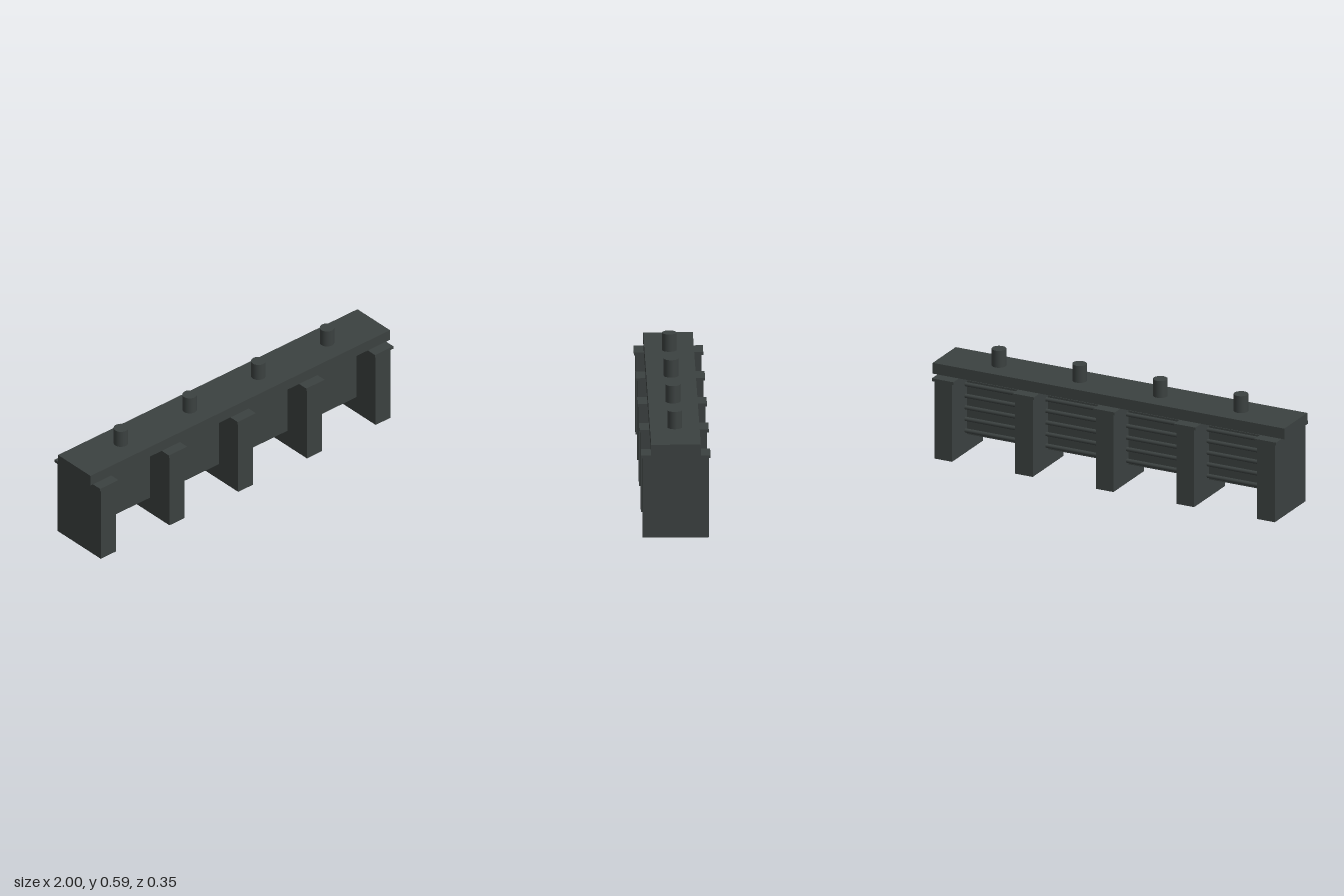
import * as THREE from 'three';

export function createModel() {
  const model = new THREE.Group();
  const darkGrey = new THREE.MeshStandardMaterial({ color: 0x3b4140 });
  darkGrey.name = 'darkGrey';

  const add = (name, geometry, x, y, z = 0) => {
    const mesh = new THREE.Mesh(geometry, darkGrey);
    mesh.name = name;
    mesh.position.set(x, y, z);
    model.add(mesh);
    return mesh;
  };

  const pitch = 0.459; // spacing of piers and bays

  // Five piers, each with a thin overhanging cap
  const pier = new THREE.BoxGeometry(0.1, 0.419, 0.334);
  const cap = new THREE.BoxGeometry(0.122, 0.015, 0.35);
  for (let i = -2; i <= 2; i++) {
    add('pier', pier, i * pitch, 0.2095);
    add('pierCap', cap, i * pitch, 0.4265);
  }

  // Long beam just above the caps
  add('topBeam', new THREE.BoxGeometry(2, 0.058, 0.25), 0, 0.468);

  // Four bays: panel, ribs on its back, and a round stud on the beam
  const panel = new THREE.BoxGeometry(0.345, 0.29, 0.042);
  const rib = new THREE.CylinderGeometry(0.011, 0.011, 0.36, 12).rotateZ(Math.PI / 2);
  const stud = new THREE.CylinderGeometry(0.037, 0.037, 0.091, 32);
  for (let i = -1.5; i <= 1.5; i++) {
    const x = i * pitch;
    add('bayPanel', panel, x, 0.245, 0.005);
    for (let j = -2; j <= 2; j++) add('panelRib', rib, x, 0.245 + j * 0.0625, -0.02);
    add('beamStud', stud, x, 0.5425);
  }

  return model;
}
